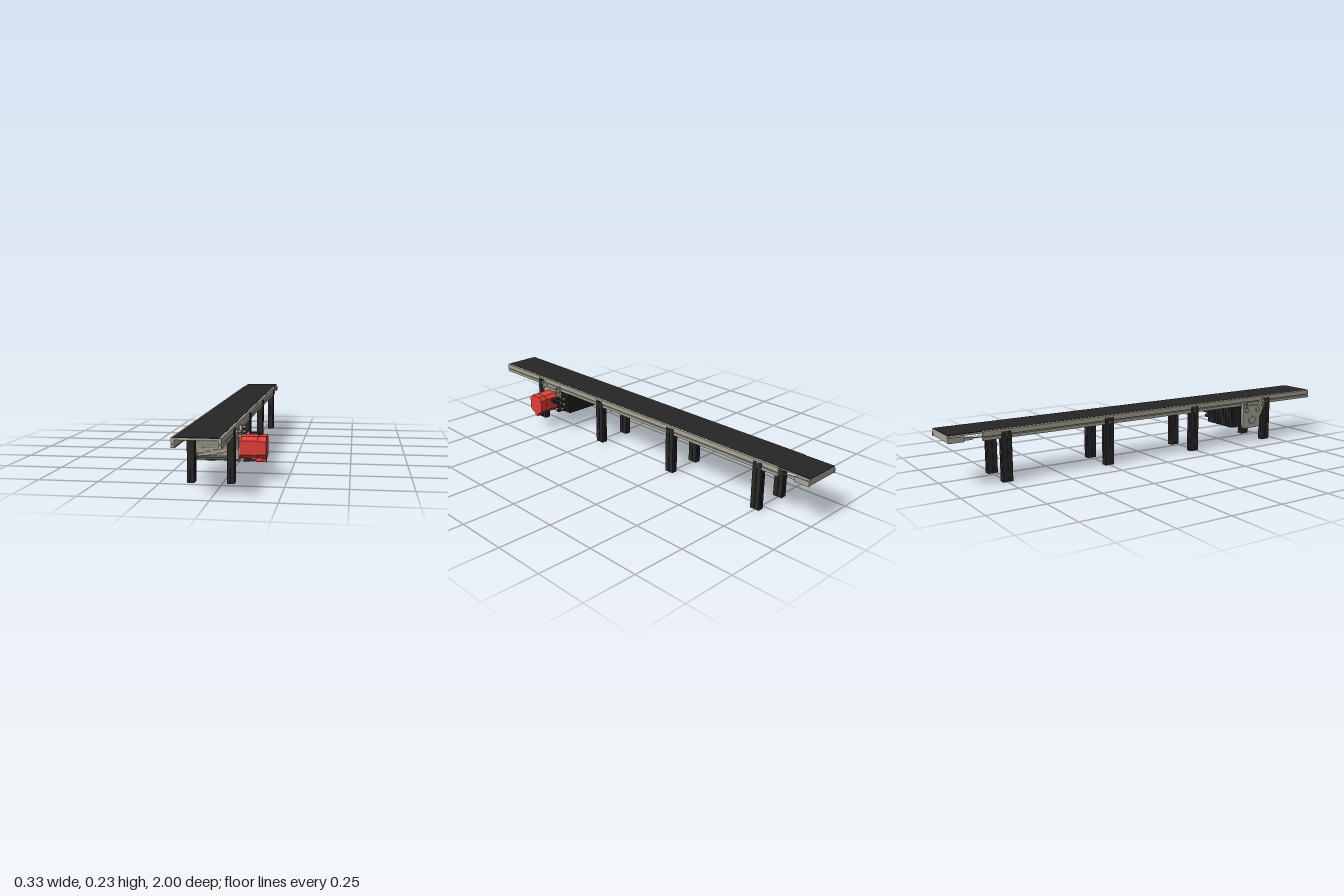
import * as THREE from 'three';

const mat = (name, color) => new THREE.MeshStandardMaterial({ name, color });

export function createModel() {
  const root = new THREE.Group();
  root.name = 'beltConveyor';
  const grey = mat('aluminium grey', 0xa9a698);
  const darkGrey = mat('steel grey', 0x8c897e);
  const belt = mat('belt black', 0x262626);
  const black = mat('profile black', 0x292929);
  const box = mat('control black', 0x222222);
  const red = mat('motor red', 0xe33f38);
  const CX = -0.047; // centreline of the conveyor

  function add(name, geo, material, x = 0, y = 0, z = 0) {
    const m = new THREE.Mesh(geo, material);
    m.name = name;
    m.position.set(x, y, z);
    root.add(m);
    return m;
  }
  // box given by its limits
  const block = (name, material, x0, x1, y0, y1, z0, z1) =>
    add(name, new THREE.BoxGeometry(x1 - x0, y1 - y0, z1 - z0), material,
      (x0 + x1) / 2, (y0 + y1) / 2, (z0 + z1) / 2);
  const shapeOf = pts => new THREE.Shape(pts.map(p => new THREE.Vector2(...p)));
  const extrude = (shape, depth) =>
    new THREE.ExtrudeGeometry(shape, { depth, bevelEnabled: false });
  // outline in (z, y), extruded from x0 to x1
  const sideways = (name, material, pts, x0, x1) =>
    add(name, extrude(shapeOf(pts), x1 - x0).rotateY(-Math.PI / 2), material, x1);
  // cylinder along x
  const rod = (name, material, r, x0, x1, y, z, sides = 16) =>
    add(name, new THREE.CylinderGeometry(r, r, x1 - x0, sides).rotateZ(Math.PI / 2),
      material, (x0 + x1) / 2, y, z);

  // belt and its carrying deck
  block('belt', belt, CX - 0.085, CX + 0.085, 0.2275, 0.23, -1, 1);
  block('deck', grey, CX - 0.08, CX + 0.08, 0.219, 0.2274, -0.988, 0.998);

  // side rails with a narrow slot
  const railPts = [[0.078, 0.19], [0.093, 0.19], [0.093, 0.203],
    [0.086, 0.203], [0.086, 0.207], [0.093, 0.207],
    [0.093, 0.228], [0.085, 0.2295], [0.08, 0.2295], [0.08, 0.194], [0.078, 0.194]];
  for (const s of [-1, 1]) {
    add(s < 0 ? 'rightRail' : 'leftRail',
      extrude(shapeOf(railPts.map(([x, y]) => [s * x, y])), 1.85), grey, CX, 0, -0.85);
    // tensioning tail
    const side = (name, m, a, b, ...rest) =>
      block(name, m, CX + Math.min(s * a, s * b), CX + Math.max(s * a, s * b), ...rest);
    side('tailCheek', grey, 0.086, 0.093, 0.196, 0.219, -1, -0.93);
    side('tailSlider', grey, 0.08, 0.088, 0.2, 0.212, -0.935, -0.895);
    side('tailScrew', darkGrey, 0.08, 0.084, 0.204, 0.208, -0.9, -0.85);
  }
  block('tailNose', grey, CX - 0.086, CX + 0.086, 0.198, 0.227, -0.999, -0.988);

  // slotted legs with clamp screws
  const w = 0.0145, d = 0.0225, g = 0.0018, k = 0.003;
  const legShape = shapeOf([
    [-w, -d], [-g, -d], [-g, -d + k], [g, -d + k], [g, -d], [w, -d],
    [w, -g], [w - k, -g], [w - k, g], [w, g], [w, d],
    [g, d], [g, d - k], [-g, d - k], [-g, d], [-w, d],
    [-w, g], [-w + k, g], [-w + k, -g], [-w, -g]]);
  const legGeo = extrude(legShape, 0.219).rotateX(-Math.PI / 2);
  for (const z of [0.699, 0.236, -0.247, -0.747]) {
    for (const s of [-1, 1]) {
      add('leg', legGeo, black, CX + s * 0.0805, 0, z);
      const a = CX + s * 0.09, b = CX + s * 0.1;
      rod('clampScrew', darkGrey, 0.004, Math.min(a, b), Math.max(a, b), 0.2, z, 8);
    }
  }

  // drive housing with a rounded underside
  const housing = [[0.54, 0.192], [0.54, 0.092], [0.546, 0.081], [0.558, 0.076], [0.625, 0.076],
    [0.638, 0.08], [0.647, 0.092], [0.652, 0.13], [0.672, 0.18], [0.672, 0.192]];
  sideways('driveHousing', grey, housing, CX - 0.092, CX + 0.092);
  for (let i = 0; i < 14; i++) {
    const y = 0.092 + i * 0.007;
    const z = y < 0.13 ? 0.652 : 0.652 + (y - 0.13) * 0.4;
    block('housingRib', grey, CX - 0.09, CX + 0.09, y, y + 0.0035, z - 0.012, z + 0.001);
  }
  // bearing plates either side
  const plate = [[0.538, 0.212], [0.538, 0.078], [0.55, 0.074], [0.635, 0.074], [0.65, 0.085],
    [0.65, 0.125], [0.682, 0.19], [0.682, 0.212], [0.66, 0.212], [0.645, 0.188], [0.57, 0.188], [0.56, 0.212]];
  for (const s of [-1, 1]) {
    const a = CX + s * 0.0915, b = CX + s * 0.103, c = CX + s * 0.111, e = CX + s * 0.118;
    const lo = Math.min, hi = Math.max;
    sideways('bearingPlate', grey, plate, lo(a, b), hi(a, b));
    for (const [y, z, r] of [[0.115, 0.595, 0.02], [0.165, 0.56, 0.011], [0.165, 0.63, 0.011]])
      rod('bearingCap', grey, r, lo(b, c), hi(b, c), y, z, 24);
    for (const [y, z] of [[0.184, 0.55], [0.184, 0.665], [0.203, 0.67], [0.203, 0.55]])
      rod('plateBolt', darkGrey, 0.006, lo(a, e), hi(a, e), y, z, 8);
  }

  // motor with chamfered corners
  const octagon = (h, c) => [[-h, c - h], [c - h, -h], [h - c, -h], [h, c - h],
    [h, h - c], [h - c, h], [c - h, h], [-h, h - c]].map(([z, y]) => [z + 0.598, y + 0.132]);
  sideways('motorFlange', grey, octagon(0.046, 0.012), 0.052, 0.058);
  sideways('motorBody', red, octagon(0.045, 0.016), 0.058, 0.13);
  sideways('motorCollar', red, octagon(0.0435, 0.018), 0.13, 0.134);
  sideways('motorEnd', red, octagon(0.045, 0.018), 0.134, 0.165);
  // plug beneath the motor
  block('plugBase', red, 0.148, 0.162, 0.07, 0.09, 0.585, 0.612);
  rod('plugBody', red, 0.008, 0.122, 0.162, 0.075, 0.598);
  rod('plugTip', red, 0.004, 0.099, 0.124, 0.075, 0.598);

  // control box with shallow ribs across its width
  block('controlBox', box, CX - 0.098, CX + 0.096, 0.088, 0.188, 0.471, 0.528);
  for (let i = 0; i < 9; i++) {
    const x = CX - 0.09 + i * 0.021;
    block('controlRib', box, x, x + 0.015, 0.086, 0.19, 0.469, 0.53);
  }
  // cable connectors on the end of the control box
  for (const [y, z, end] of [[0.165, 0.486, 0.135], [0.165, 0.512, 0.125], [0.135, 0.486, 0.11],
    [0.135, 0.512, 0.09], [0.107, 0.5, 0.1]]) {
    rod('connectorNut', box, 0.011, 0.049, 0.07, y, z, 8);
    rod('connectorRing', grey, 0.0085, 0.07, 0.078, y, z, 12);
    rod('connector', box, 0.009, 0.078, end, y, z, 12);
  }
  return root;
}
